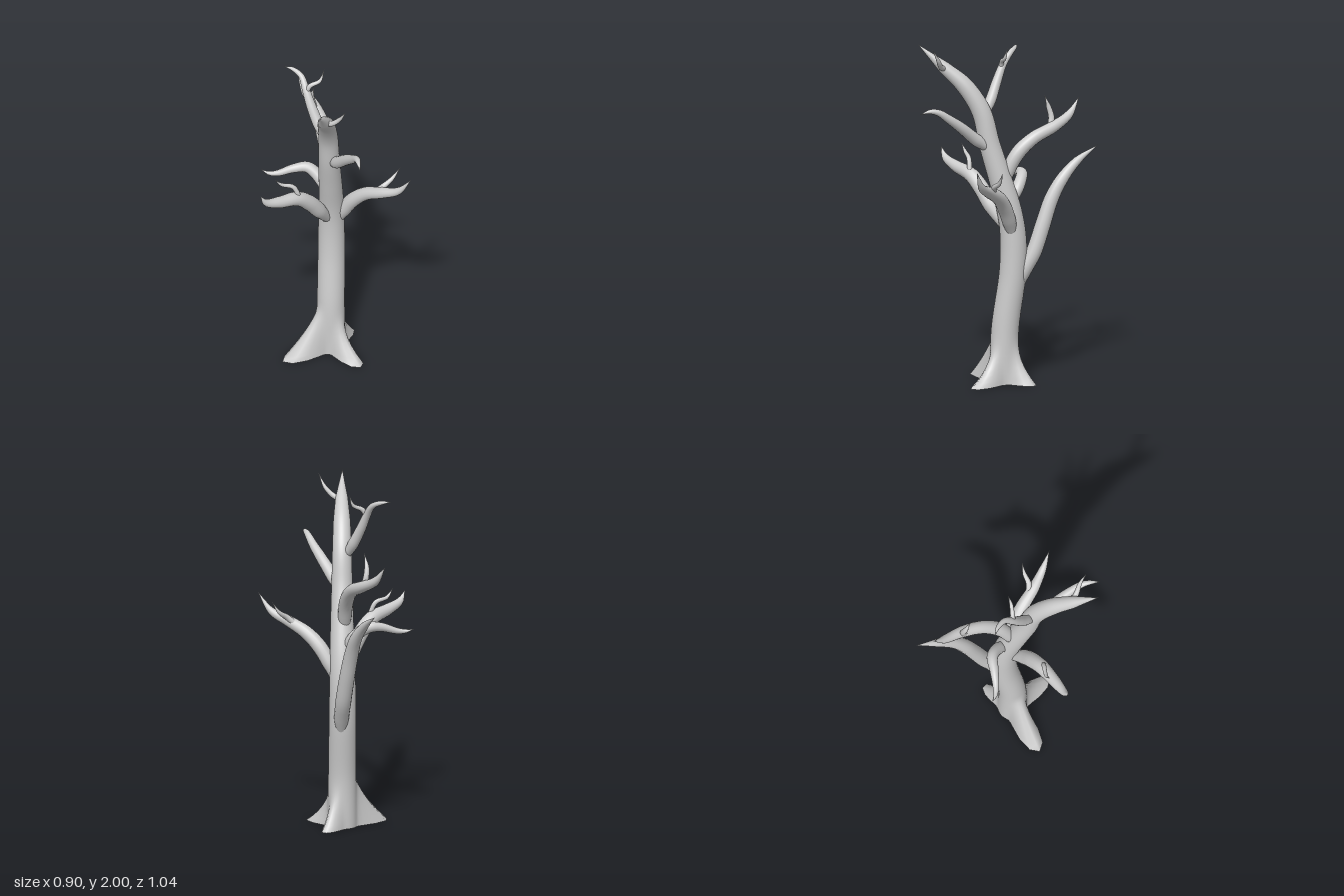
import * as THREE from 'three';
import { mergeVertices } from 'three/addons/utils/BufferGeometryUtils.js';

const bark = new THREE.MeshStandardMaterial({ color: 0xcccccc });

// Tapered tube through [x, y, z, radius] points; swell() may push a vertex further out
function limbGeometry(points, rings, sides, swell) {
  const curve = new THREE.CatmullRomCurve3(points.map(([x, y, z]) => new THREE.Vector3(x, y, z)));
  const geo = new THREE.TubeGeometry(curve, rings, 1, sides, false);
  const pos = geo.attributes.position;
  const v = new THREE.Vector3();
  for (let i = 0; i <= rings; i++) {
    const center = curve.getPointAt(i / rings);
    const t = curve.getUtoTmapping(i / rings) * (points.length - 1);
    const k = Math.min(Math.floor(t), points.length - 2);
    const radius = THREE.MathUtils.lerp(points[k][3], points[k + 1][3], t - k);
    for (let j = 0; j <= sides; j++) {
      const n = i * (sides + 1) + j;
      v.fromBufferAttribute(pos, n).sub(center);
      const extra = swell ? swell(Math.atan2(v.z, v.x), center.y) : 0;
      v.multiplyScalar(radius + extra).add(center);
      if (swell && i === 0) v.y = 0;
      pos.setXYZ(n, v.x, v.y, v.z);
    }
  }
  geo.deleteAttribute('uv');
  geo.deleteAttribute('normal');
  const smooth = mergeVertices(geo, 1e-5);
  smooth.computeVertexNormals();
  return smooth;
}

// Root lobes: direction, reach and how quickly each one falls off with height
const roots = [
  { angle: Math.atan2(0.18, -0.25), reach: 0.235, fall: 1.4 },
  { angle: Math.atan2(0.18, 0.19), reach: 0.19, fall: 2.6 },
  { angle: Math.atan2(-0.17, 0.1), reach: 0.125, fall: 2.4 },
];
function rootFlare(angle, y) {
  if (y > 0.3) return 0;
  let extra = 0;
  for (const r of roots) {
    const d = Math.atan2(Math.sin(angle - r.angle), Math.cos(angle - r.angle));
    extra += r.reach * Math.exp(-((d / 0.38) ** 2)) * (1 - y / 0.3) ** r.fall;
  }
  return extra;
}

const trunkPath = [
  [-0.035, 0, 0.02, 0.085], [-0.035, 0.3, 0.018, 0.08], [-0.037, 0.65, -0.027, 0.078],
  [-0.037, 0.85, -0.03, 0.076], [-0.035, 1.0, -0.01, 0.072], [-0.035, 1.2, 0.045, 0.067],
  [-0.035, 1.4, 0.105, 0.061], [-0.035, 1.6, 0.155, 0.056], [-0.035, 1.75, 0.25, 0.05],
  [-0.035, 1.86, 0.37, 0.036], [-0.04, 1.995, 0.52, 0],
];

const branches = {
  lowBackBranch: [
    [-0.03, 0.55, -0.06, 0.02], [-0.03, 0.65, -0.09, 0.042], [-0.04, 0.77, -0.15, 0.046],
    [-0.06, 0.92, -0.2, 0.045], [-0.085, 1.07, -0.25, 0.042], [-0.11, 1.18, -0.31, 0.036],
    [-0.16, 1.28, -0.4, 0.024], [-0.22, 1.36, -0.52, 0],
  ],
  highBackBranch: [
    [-0.045, 1.12, 0.03, 0.025], [-0.05, 1.24, 0.0, 0.04], [-0.06, 1.35, -0.06, 0.042],
    [-0.09, 1.43, -0.15, 0.038], [-0.15, 1.48, -0.26, 0.034], [-0.225, 1.535, -0.35, 0.025],
    [-0.28, 1.63, -0.41, 0],
  ],
  rightBranch: [
    [-0.04, 1.02, 0, 0.025], [-0.1, 1.13, -0.055, 0.036], [-0.18, 1.195, -0.08, 0.033],
    [-0.26, 1.195, -0.06, 0.026], [-0.35, 1.168, -0.04, 0.018], [-0.4, 1.165, -0.037, 0.012],
    [-0.45, 1.18, -0.05, 0],
  ],
  frontRightBranch: [
    [-0.06, 0.93, 0.03, 0.03], [-0.1, 1.03, 0.1, 0.045], [-0.15, 1.12, 0.155, 0.046],
    [-0.21, 1.185, 0.215, 0.042], [-0.3, 1.215, 0.3, 0.034], [-0.37, 1.25, 0.36, 0.022],
    [-0.4, 1.31, 0.385, 0],
  ],
  leftBranch: [
    [-0.01, 0.86, -0.03, 0.025], [0.04, 0.97, -0.005, 0.042], [0.095, 1.06, 0.02, 0.043],
    [0.17, 1.135, 0.055, 0.039], [0.27, 1.19, 0.11, 0.033], [0.37, 1.24, 0.15, 0.022],
    [0.45, 1.35, 0.18, 0],
  ],
  frontLeftBranch: [
    [-0.02, 1.38, 0.1, 0.025], [0.02, 1.44, 0.18, 0.036], [0.085, 1.53, 0.27, 0.031],
    [0.13, 1.59, 0.34, 0.025], [0.16, 1.635, 0.4, 0.019], [0.175, 1.645, 0.45, 0.013],
    [0.19, 1.63, 0.505, 0],
  ],
  topBranch: [
    [-0.05, 1.56, 0.14, 0.022], [-0.1, 1.65, 0.1, 0.032], [-0.145, 1.75, 0.065, 0.028],
    [-0.18, 1.84, 0.03, 0.022], [-0.21, 1.9, -0.01, 0.017], [-0.265, 1.925, -0.04, 0.012],
    [-0.32, 1.93, -0.05, 0],
  ],
};

const twigs = {
  highBackTwig: [
    [-0.15, 1.46, -0.24, 0.02], [-0.17, 1.53, -0.25, 0.018], [-0.175, 1.59, -0.235, 0.015],
    [-0.16, 1.67, -0.21, 0],
  ],
  frontRightTwig: [
    [-0.19, 1.19, 0.22, 0.014], [-0.23, 1.275, 0.225, 0.014], [-0.295, 1.3, 0.245, 0.011],
    [-0.33, 1.35, 0.27, 0],
  ],
  leftTwig: [
    [0.22, 1.165, 0.08, 0.017], [0.28, 1.22, 0.08, 0.017], [0.325, 1.255, 0.05, 0.012],
    [0.37, 1.325, 0.03, 0],
  ],
  topBranchTwig: [
    [-0.175, 1.81, 0.04, 0.014], [-0.155, 1.865, 0.035, 0.014], [-0.1, 1.895, 0.02, 0.011],
    [-0.075, 1.965, 0, 0],
  ],
  crownTwig: [
    [-0.03, 1.85, 0.36, 0.016], [0.015, 1.87, 0.385, 0.016], [0.06, 1.915, 0.4, 0.012],
    [0.1, 1.995, 0.435, 0],
  ],
};

export function createModel() {
  const tree = new THREE.Group();
  tree.name = 'bareTree';
  const add = (name, geometry) => {
    const mesh = new THREE.Mesh(geometry, bark);
    mesh.name = name;
    tree.add(mesh);
  };

  // Trunk with root flare
  const sides = 40;
  const trunk = limbGeometry(trunkPath, 64, sides, rootFlare);
  add('trunk', trunk);

  // Flat underside closing the root ring
  const outline = [];
  for (let i = 0; i < trunk.attributes.position.count; i++) {
    const p = new THREE.Vector3().fromBufferAttribute(trunk.attributes.position, i);
    if (p.y < 1e-6) outline.push(new THREE.Vector2(p.x, p.z));
  }
  const middle = new THREE.Vector2(trunkPath[0][0], trunkPath[0][2]);
  outline.sort((a, b) => a.clone().sub(middle).angle() - b.clone().sub(middle).angle());
  add('underside', new THREE.ShapeGeometry(new THREE.Shape(outline)).rotateX(Math.PI / 2));

  // Branches and their twigs
  for (const [name, path] of Object.entries(branches)) add(name, limbGeometry(path, 32, 16));
  for (const [name, path] of Object.entries(twigs)) add(name, limbGeometry(path, 16, 10));
  return tree;
}
